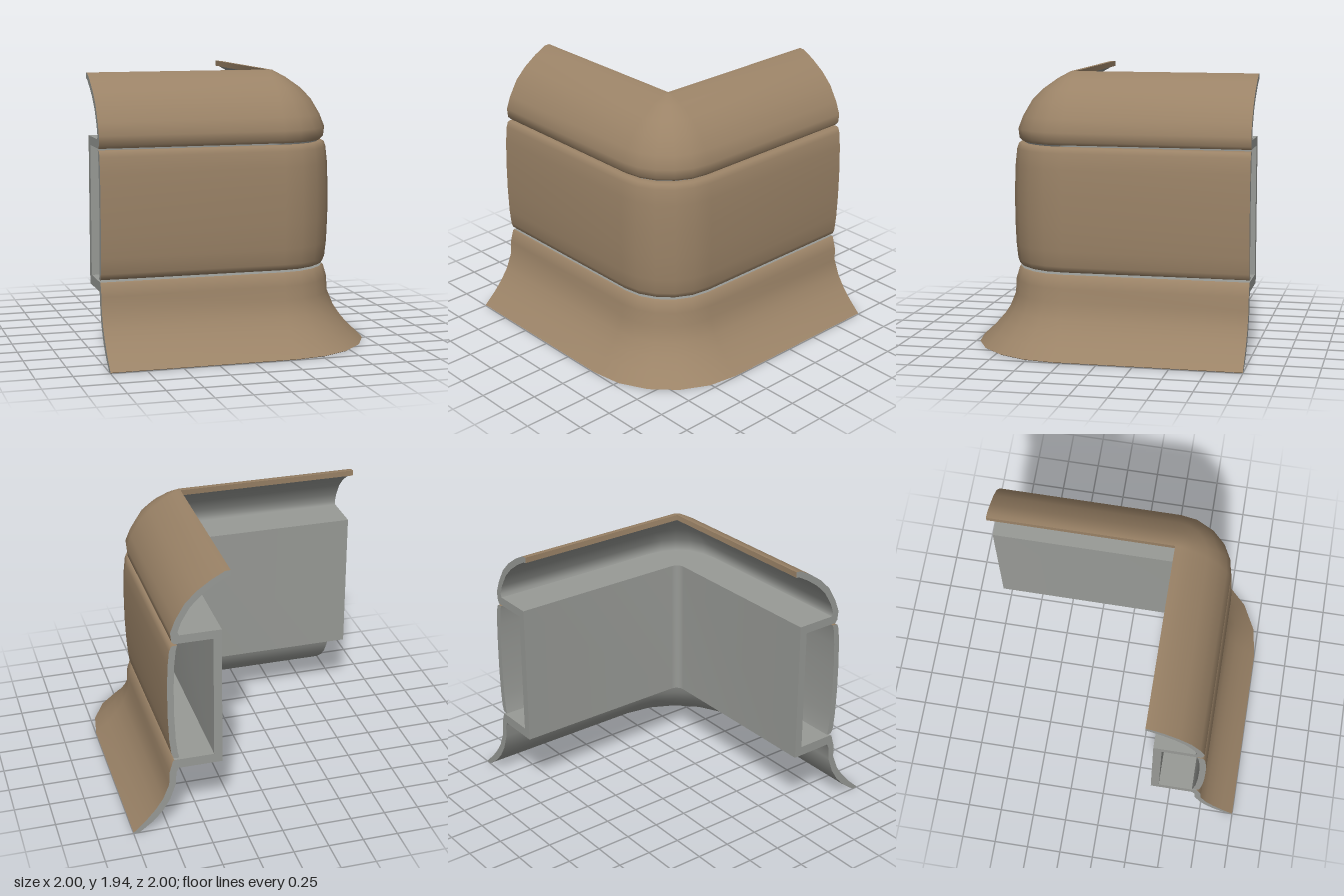
import * as THREE from 'three';
import { toCreasedNormals } from 'three/addons/utils/BufferGeometryUtils.js';

const brown = new THREE.MeshStandardMaterial({ color: 0x9b8367, side: THREE.DoubleSide });
brown.name = 'brown finish';
const grey = new THREE.MeshStandardMaterial({ color: 0x989a96, side: THREE.DoubleSide });
grey.name = 'grey inside';

const BEND = 0.3, STEPS = 5;

// Profile point (d = distance outward, y) placed at each station of the L-shaped run
function stations(d, y) {
  const r = d - BEND, row = [[-1, y, d]];
  for (let i = 0; i <= STEPS; i++) {
    const a = (i / STEPS) * Math.PI / 2;
    row.push([BEND + r * Math.sin(a), y, BEND + r * Math.cos(a)]);
  }
  row.push([d, y, -1]);
  return row;
}

// Sweep an open profile along the run
function sweep(profile) {
  const n = STEPS + 3, pos = [], index = [];
  for (const [d, y] of profile) for (const p of stations(d, y)) pos.push(...p);
  for (let j = 0; j < profile.length - 1; j++) {
    for (let i = 0; i < n - 1; i++) {
      const a = j * n + i, b = a + 1, c = a + n, e = c + 1;
      index.push(a, b, c, b, e, c);
    }
  }
  const g = new THREE.BufferGeometry();
  g.setAttribute('position', new THREE.Float32BufferAttribute(pos, 3));
  g.setIndex(index);
  return toCreasedNormals(g, 0.9);
}

function addMesh(group, name, geometry, material) {
  const m = new THREE.Mesh(geometry, material);
  m.name = name;
  group.add(m);
}

// Flat cut faces at both ends of the run
function addEnds(group, name, loop) {
  const shape = new THREE.Shape(loop.map(([d, y]) => new THREE.Vector2(d, y)));
  const left = new THREE.ShapeGeometry(shape).rotateY(-Math.PI / 2).translate(-1, 0, 0);
  const back = new THREE.ShapeGeometry(shape).translate(0, 0, -1);
  addMesh(group, name + 'LeftEnd', left, grey);
  addMesh(group, name + 'BackEnd', back, grey);
}

export function createModel() {
  const model = new THREE.Group();
  model.name = 'cornerTrunking';

  // Body: flared foot, channel and curved top in one closed section
  const foot = [[0.96, 0], [0.99, 0], [1, 0.006], [0.91, 0.09], [0.84, 0.17], [0.785, 0.25],
    [0.74, 0.36], [0.735, 0.46], [0.71, 0.545], [0.7, 0.553]];
  const channel = [[0.7, 0.553], [0.42, 0.553], [0.42, 1.454], [0.685, 1.454]];
  const hood = [[0.685, 1.454], [0.703, 1.475], [0.71, 1.54], [0.675, 1.63], [0.61, 1.74],
    [0.53, 1.82], [0.43, 1.89], [0.34, 1.938], [0.302, 1.94], [0.302, 1.9]];
  const inside = [[0.302, 1.9], [0.33, 1.895], [0.41, 1.85], [0.5, 1.785], [0.575, 1.71],
    [0.635, 1.61], [0.66, 1.54], [0.65, 1.515], [0.362, 1.515], [0.362, 0.485], [0.67, 0.485],
    [0.688, 0.45], [0.692, 0.36], [0.735, 0.24], [0.79, 0.15], [0.86, 0.075], [0.96, 0]];
  const body = new THREE.Group();
  body.name = 'body';
  addMesh(body, 'flaredFoot', sweep(foot), brown);
  addMesh(body, 'channel', sweep(channel), grey);
  addMesh(body, 'curvedTop', sweep(hood), brown);
  addMesh(body, 'backSurface', sweep(inside), grey);
  addEnds(body, 'body', [...foot, ...channel.slice(1), ...hood.slice(1), ...inside.slice(1, -1)]);
  model.add(body);

  // Bowed snap-on cover, mirrored about its mid height
  const mid = 1.005;
  const mirror = half => [...half, ...half.slice().reverse().map(([d, y]) => [d, 2 * mid - y])];
  const outer = mirror([[0.665, 0.568], [0.695, 0.568], [0.708, 0.576], [0.72, 0.61],
    [0.732, 0.72], [0.739, 0.9]]);
  const inner = mirror([[0.665, 0.568], [0.675, 0.61], [0.687, 0.72], [0.694, 0.9]]).reverse();
  const cover = new THREE.Group();
  cover.name = 'cover';
  addMesh(cover, 'coverFront', sweep(outer), brown);
  addMesh(cover, 'coverBack', sweep(inner), grey);
  addEnds(cover, 'cover', [...outer, ...inner.slice(1, -1)]);
  model.add(cover);

  return model;
}
